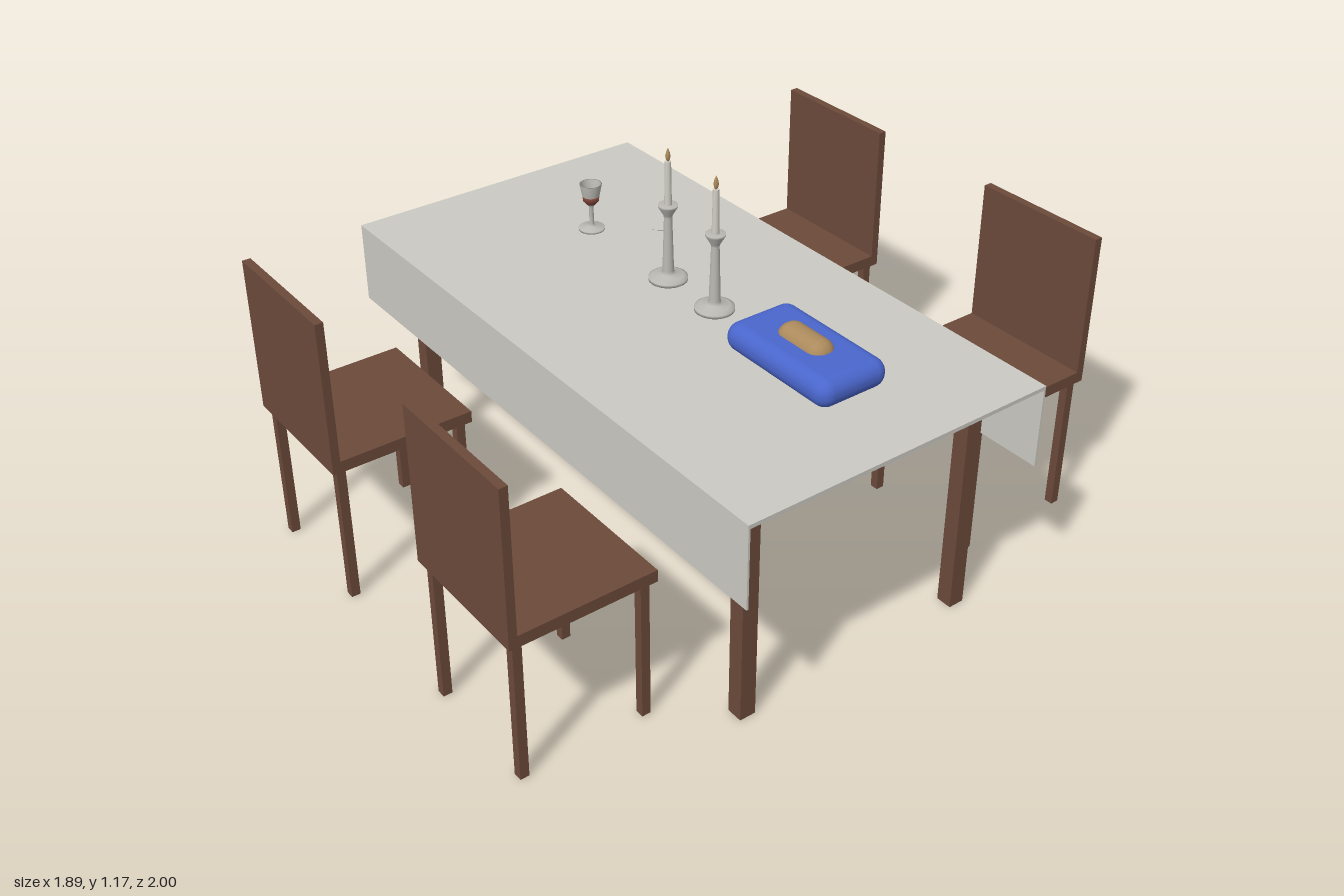
import * as THREE from 'three';
import { RoundedBoxGeometry } from 'three/addons/geometries/RoundedBoxGeometry.js';

const material = (name, color, side = THREE.FrontSide) => {
  const m = new THREE.MeshStandardMaterial({ color, side });
  m.name = name;
  return m;
};

export function createModel() {
  const wood = material('dark wood', 0x6b4a3a);
  const tan = material('light tan', 0xac8a5c);
  const linen = material('linen', 0xcbc9c2);
  const silver = material('silver', 0xb9b8b2, THREE.DoubleSide);
  const wax = material('candle wax', 0xcfcdc4);
  const blue = material('blue', 0x4a66cc);
  const wine = material('wine', 0x7a4238, THREE.DoubleSide);

  const model = new THREE.Group();
  model.name = 'diningSet';

  const add = (parent, name, geometry, mat, x = 0, y = 0, z = 0) => {
    const mesh = new THREE.Mesh(geometry, mat);
    mesh.name = name;
    mesh.position.set(x, y, z);
    parent.add(mesh);
    return mesh;
  };
  const group = (name, x = 0, y = 0, z = 0) => {
    const g = new THREE.Group();
    g.name = name;
    g.position.set(x, y, z);
    model.add(g);
    return g;
  };
  // Box given by its centre in x and z and its bottom and top heights
  const box = (parent, name, mat, w, d, y0, y1, x = 0, z = 0) =>
    add(parent, name, new THREE.BoxGeometry(w, y1 - y0, d), mat, x, (y0 + y1) / 2, z);
  const lathe = (parent, name, mat, points) =>
    add(parent, name, new THREE.LatheGeometry(points.map(p => new THREE.Vector2(...p)), 24), mat);

  // Table
  const table = group('table');
  box(table, 'tableTop', tan, 1.72, 0.9, 0.708, 0.747);
  for (const sx of [-1, 1])
    for (const sz of [-1, 1])
      box(table, 'tableLeg', wood, 0.05, 0.05, 0, 0.708, sx * 0.793, sz * 0.382);

  // Tablecloth, hanging over the two long sides
  const cloth = group('tablecloth');
  box(cloth, 'clothTop', linen, 1.886, 1.0, 0.747, 0.759);
  for (const s of [-1, 1])
    box(cloth, 'clothDrop', linen, 1.886, 0.006, 0.504, 0.748, 0, s * 0.497);

  // Chairs, two on each long side, with their backs outwards
  for (const sx of [-1, 1])
    for (const sz of [-1, 1]) {
      const chair = group('chair', sx * 0.448, 0, sz * 0.78);
      box(chair, 'seat', wood, 0.435, 0.44, 0.443, 0.479);
      box(chair, 'backrest', wood, 0.435, 0.025, 0.479, 0.921, 0, sz * 0.2075);
      for (const lx of [-1, 1])
        for (const lz of [-1, 1])
          box(chair, 'chairLeg', wood, 0.027, 0.027, 0, 0.443, lx * 0.19, lz * 0.19);
    }

  // Plates
  for (const sx of [-1, 1])
    for (const sz of [-1, 1])
      add(model, 'plate', new THREE.CylinderGeometry(0.13, 0.105, 0.014, 40), linen,
        sx * 0.447, 0.766, sz * 0.279);

  // Candlesticks with candles and flames
  for (const x of [-0.112, 0.106]) {
    const stick = group('candlestick', x, 0.759, -0.052);
    lathe(stick, 'holder', silver, [
      [0, 0], [0.058, 0], [0.058, 0.009], [0.045, 0.015], [0.02, 0.018], [0.017, 0.03],
      [0.012, 0.2], [0.014, 0.208], [0.029, 0.234], [0.029, 0.24], [0, 0.24]]);
    add(stick, 'candle', new THREE.CylinderGeometry(0.009, 0.011, 0.135, 20), wax, 0, 0.307, 0);
    lathe(stick, 'flame', tan, [
      [0, 0.372], [0.005, 0.378], [0.0075, 0.39], [0.005, 0.403], [0, 0.415]]);
  }

  // Goblet with wine in the lower bowl
  const goblet = group('goblet', -0.502, 0.759, -0.052);
  lathe(goblet, 'gobletFoot', silver, [
    [0, 0], [0.04, 0], [0.04, 0.006], [0.012, 0.011], [0.007, 0.02], [0.007, 0.075],
    [0.014, 0.085]]);
  lathe(goblet, 'wineBowl', wine, [[0, 0.083], [0.014, 0.085], [0.024, 0.096], [0.026, 0.112], [0, 0.112]]);
  lathe(goblet, 'gobletBowl', silver, [[0.026, 0.112], [0.034, 0.151], [0.03, 0.151], [0.024, 0.114]]);

  // Blue cushion with a loaf on top
  add(model, 'cushion', new RoundedBoxGeometry(0.418, 0.086, 0.234, 6, 0.041), blue, 0.493, 0.802, -0.053);
  add(model, 'loaf', new RoundedBoxGeometry(0.182, 0.086, 0.086, 6, 0.04), tan, 0.493, 0.829, -0.054);

  return model;
}
